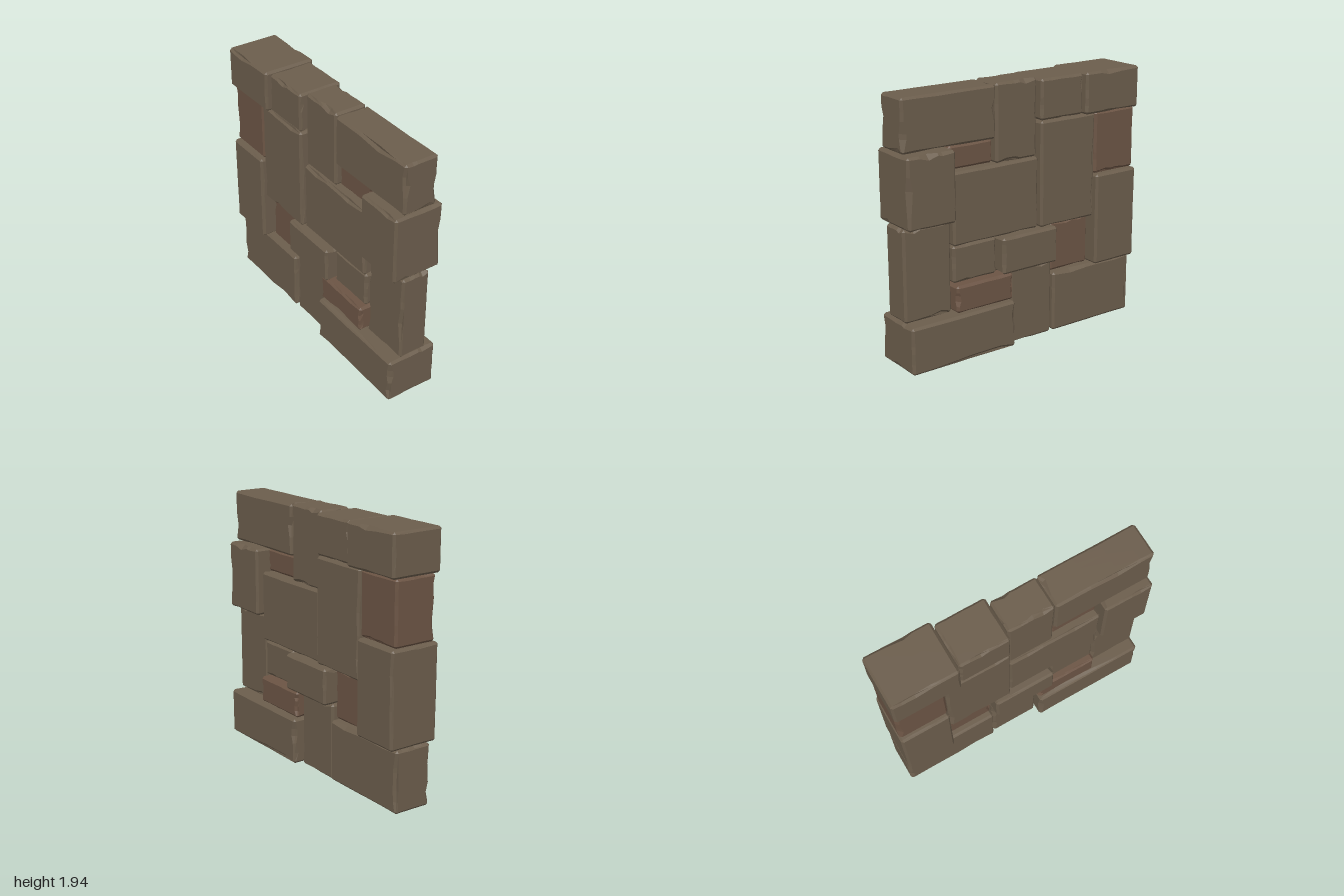
import * as THREE from 'three';

const SEG = 7;
const BEVEL = 0.016;

// Seeded hash, 0..1
const hash = (...k) => {
  const s = Math.sin(k.reduce((a, v, i) => a + v * (12.9898 + 31.17 * i), 4.1)) * 43758.5453;
  return s - Math.floor(s);
};

// [z front, z back, y bottom, y top, half thickness, reddish]
const STONES = [
  // top course
  [1, 0.247, 1.555, 1.93, 0.13],
  [0.243, -0.108, 1.375, 1.937, 0.125],
  [-0.115, -0.492, 1.635, 1.93, 0.17],
  [-0.5, -0.997, 1.63, 1.935, 0.2],
  // middle courses
  [1, 0.62, 1.04, 1.545, 0.19],
  [0.612, 0.25, 1.38, 1.548, 0.09, true],
  [0.617, -0.11, 0.85, 1.375, 0.145],
  [-0.117, -0.61, 0.85, 1.63, 0.17],
  [-0.615, -0.99, 1.17, 1.63, 0.165, true],
  [1, 0.62, 0.365, 1.035, 0.11],
  [0.612, 0.245, 0.575, 0.845, 0.125],
  [0.235, -0.25, 0.575, 0.845, 0.197],
  [-0.255, -0.61, 0.47, 0.845, 0.1, true],
  [-0.615, -0.997, 0.47, 1.165, 0.195],
  [0.612, 0.13, 0.365, 0.565, 0.17, true],
  // bottom course
  [1, 0.13, 0.01, 0.357, 0.197],
  [0.123, -0.25, 0, 0.57, 0.125],
  [-0.255, -0.997, 0.01, 0.465, 0.145],
];

// Bevelled block whose edges are chipped by a varying bevel width
function stoneGeometry(size, seed) {
  const geo = new THREE.BoxGeometry(1, 1, 1, SEG, SEG, SEG);
  const pos = geo.attributes.position;
  const isEnd = i => i === 0 || i === SEG;
  const isRim = i => i === 1 || i === SEG - 1;
  const side = i => (i < SEG / 2 ? -1 : 1);

  // Bevel width on the edge between axes a and b, at index k along the third axis
  const bevel = (a, b, idx) => {
    const c = 3 - a - b;
    if (isEnd(idx[c]) || isRim(idx[c])) return BEVEL;
    const edge = c * 4 + (side(idx[a]) + 1) + (side(idx[b]) + 1) / 2;
    const r = hash(seed, edge, idx[c]);
    const worn = hash(seed, edge, 50) > 0.5 ? 1 : 0.15;
    return BEVEL * (1 + worn * 1.5 * r * r);
  };

  // Uneven spacing of the rings between the bevels
  const spot = (axis, i) => {
    const half = size[axis] / 2;
    if (isEnd(i)) return side(i) * half;
    if (isRim(i)) return side(i) * (half - BEVEL);
    const t = (i - 1 + (hash(seed, axis, i) - 0.5) * 0.7) / (SEG - 2);
    return (t * 2 - 1) * (half - BEVEL);
  };

  for (let v = 0; v < pos.count; v++) {
    const idx = [pos.getX(v), pos.getY(v), pos.getZ(v)].map(p => Math.round((p + 0.5) * SEG));
    const p = idx.map((i, axis) => spot(axis, i));
    const ends = [0, 1, 2].filter(a => isEnd(idx[a]));
    if (ends.length === 3) {
      ends.forEach(a => { p[a] -= side(idx[a]) * BEVEL * 0.66; });
    } else if (ends.length === 2) {
      const w = bevel(ends[0], ends[1], idx) * 0.5;
      ends.forEach(a => { p[a] -= side(idx[a]) * w; });
    } else {
      // face border follows the chipped bevel
      [0, 1, 2].filter(a => isRim(idx[a])).forEach(a => {
        p[a] = side(idx[a]) * (size[a] / 2 - bevel(ends[0], a, idx));
      });
    }
    pos.setXYZ(v, ...p);
  }
  geo.computeVertexNormals();
  return geo;
}

export function createModel() {
  const model = new THREE.Group();
  model.name = 'stoneWall';
  const brown = new THREE.MeshStandardMaterial({ color: 0x6b5d4c, flatShading: true });
  const reddish = new THREE.MeshStandardMaterial({ color: 0x6b5444, flatShading: true });

  STONES.forEach(([z1, z0, y0, y1, half, red], i) => {
    const geo = stoneGeometry([half * 2, y1 - y0, z1 - z0], i + 1);
    const stone = new THREE.Mesh(geo, red ? reddish : brown);
    stone.name = red ? 'reddishStone' : 'stone';
    stone.position.set(0, (y0 + y1) / 2, (z0 + z1) / 2);
    model.add(stone);
  });

  // the wall stands slightly turned
  model.rotation.y = 0.025;
  return model;
}
